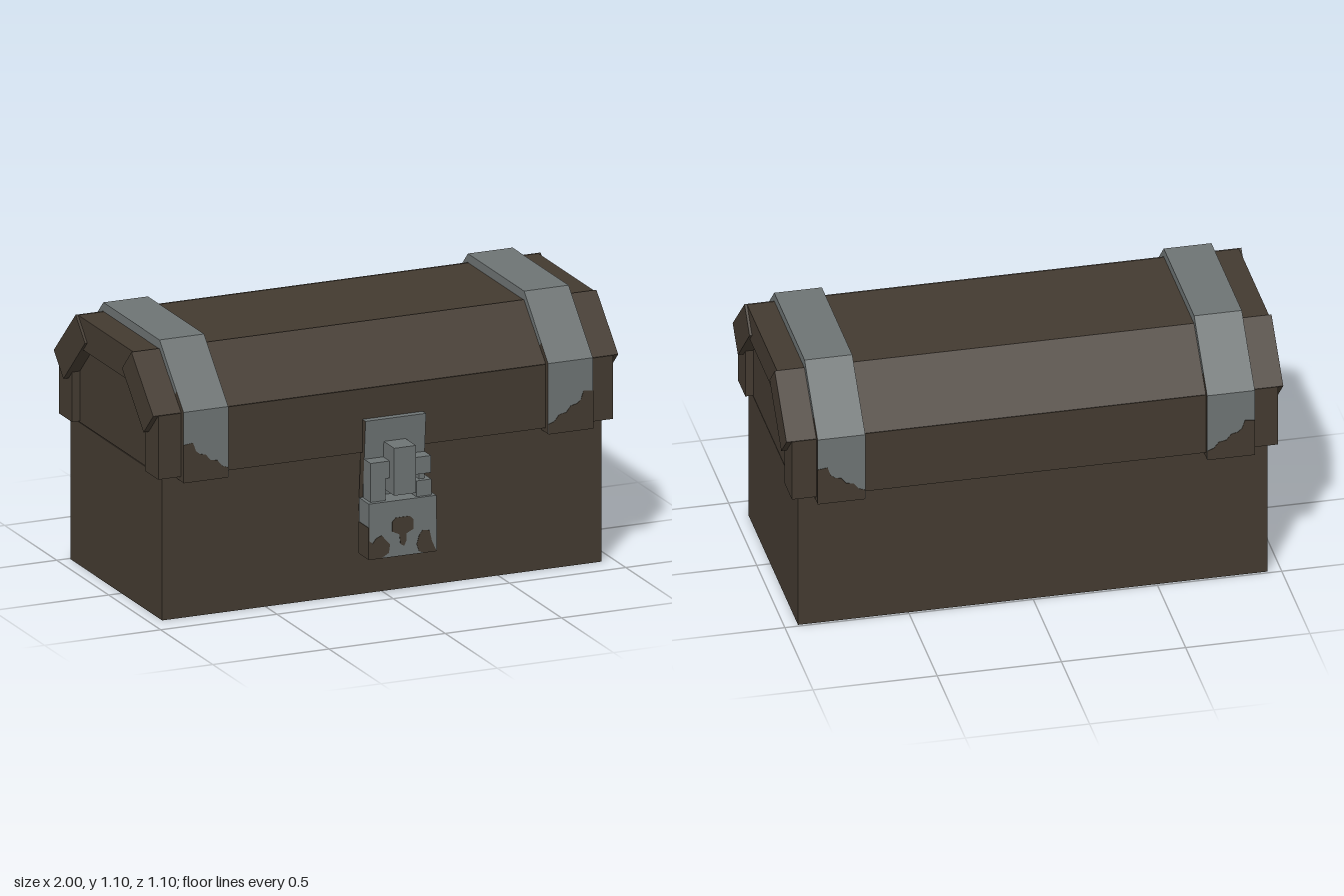
import * as THREE from 'three';

export function createModel() {
  const model = new THREE.Group();
  const wood = new THREE.MeshStandardMaterial({ color: 0x433a30 });
  wood.name = 'dark wood';
  const iron = new THREE.MeshStandardMaterial({ color: 0x6d7373 });
  iron.name = 'grey iron';

  const add = (name, geometry, material, parent = model) => {
    const mesh = new THREE.Mesh(geometry, material);
    mesh.name = name;
    parent.add(mesh);
    return mesh;
  };

  // Box given by its minimum and maximum on each axis
  const box = (name, x0, x1, y0, y1, z0, z1, material, parent) => {
    const g = new THREE.BoxGeometry(x1 - x0, y1 - y0, z1 - z0);
    g.translate((x0 + x1) / 2, (y0 + y1) / 2, (z0 + z1) / 2);
    return add(name, g, material, parent);
  };

  // Side profile of [z, y] points, run along x
  const prism = (name, points, x0, x1, material, parent) => {
    const shape = new THREE.Shape(points.map(([z, y]) => new THREE.Vector2(-z, y)));
    const g = new THREE.ExtrudeGeometry(shape, { depth: x1 - x0, bevelEnabled: false });
    g.rotateY(Math.PI / 2).translate(x0, 0, 0);
    return add(name, g, material, parent);
  };

  // Thin painted patch of [x, y] points, lying on a front or back face
  const patch = (name, points, z, material, parent) => {
    const shape = new THREE.Shape(points.map(([x, y]) => new THREE.Vector2(x, y)));
    const g = new THREE.ExtrudeGeometry(shape, { depth: 0.004, bevelEnabled: false });
    g.translate(0, 0, z - 0.002);
    return add(name, g, material, parent);
  };

  const MID = -0.05; // z of the chest's middle plane
  const at = (s, d) => MID + s * d;

  // Chest body
  box('body', -0.945, 0.945, 0, 0.587, -0.49, 0.39, wood);

  // Lid: recessed end panels, five overlapping planks
  const lid = new THREE.Group();
  lid.name = 'lid';
  model.add(lid);
  prism('lidCore', [[0.36, 0.59], [0.36, 0.83], [0.2, 0.99], [-0.3, 0.99], [-0.46, 0.83], [-0.46, 0.59]],
    -0.945, 0.945, wood, lid);
  box('topPlank', -0.99, 0.99, 0.93, 1.06, -0.315, 0.215, wood, lid);
  for (const [side, s] of [['front', 1], ['back', -1]]) {
    const z = [at(s, 0.35), at(s, 0.478)].sort((a, b) => a - b);
    box(side + 'Plank', -0.978, 0.978, 0.594, 0.855, z[0], z[1], wood, lid);
    prism(side + 'SlopedPlank',
      [[0.478, 0.857], [0.268, 1.062], [0.178, 0.97], [0.385, 0.765]].map(([d, y]) => [at(s, d), y]),
      -1, 1, wood, lid);
  }

  // Iron straps with worn lower ends
  const worn = [[0.881, 0.574], [0.881, 0.73], [0.84, 0.735], [0.828, 0.70], [0.81, 0.685], [0.785, 0.68],
    [0.765, 0.655], [0.735, 0.65], [0.715, 0.625], [0.689, 0.615], [0.689, 0.574]];
  for (const m of [1, -1]) {
    const strap = new THREE.Group();
    strap.name = m > 0 ? 'leftStrap' : 'rightStrap';
    model.add(strap);
    const [x0, x1] = m > 0 ? [0.688, 0.88] : [-0.88, -0.688];
    prism('strapTop', [[0.385, 0.932], [0.22, 1.097], [-0.32, 1.097], [-0.485, 0.932],
      [-0.44, 0.887], [-0.3, 1.03], [0.2, 1.03], [0.34, 0.887]], x0, x1, iron, strap);
    for (const s of [1, -1]) {
      const profile = [[0.502, 0.575], [0.502, 0.865], [0.435, 0.932], [0.39, 0.887], [0.43, 0.84], [0.43, 0.575]];
      prism('strapEnd', profile.map(([d, y]) => [at(s, d), y]), x0, x1, [wood, iron], strap);
      patch('wornPatch', worn.map(([x, y]) => [m * x, y]), at(s, 0.502), wood, strap);
    }
  }

  // Hasp: tilted plate and staple
  const lock = new THREE.Group();
  lock.name = 'lock';
  model.add(lock);
  prism('haspPlate', [[0.458, 0.73], [0.425, 0.345], [0.39, 0.345], [0.42, 0.73]], -0.1, 0.16, [wood, iron], lock);
  box('staple', -0.018, 0.075, 0.44, 0.635, 0.43, 0.55, iron, lock);

  // Padlock: shackle and body with worn patches and keyhole
  box('shackleLongLeg', -0.1, -0.035, 0.4, 0.57, 0.44, 0.505, iron, lock);
  box('shackleBar', -0.1, 0.16, 0.5, 0.57, 0.44, 0.505, iron, lock);
  box('shacklePost', 0.115, 0.14, 0.46, 0.52, 0.46, 0.49, iron, lock);
  box('shackleShortLeg', 0.095, 0.16, 0.4, 0.475, 0.445, 0.51, iron, lock);
  box('padlock', -0.115, 0.175, 0.182, 0.41, 0.428, 0.524, iron, lock);
  for (const x of [-0.115, 0.175]) {
    box('padlockWornSide', x - 0.002, x + 0.002, 0.182, 0.312, 0.428, 0.524, wood, lock);
  }
  box('padlockUnderside', -0.115, 0.175, 0.18, 0.184, 0.428, 0.524, wood, lock);
  patch('keyhole', [[-0.015, 0.285], [-0.015, 0.325], [0, 0.34], [0.06, 0.34], [0.075, 0.325], [0.075, 0.285],
    [0.045, 0.27], [0.045, 0.24], [0.035, 0.22], [0.02, 0.23], [0.015, 0.27]], 0.524, wood, lock);
  patch('wornCorner', [[-0.115, 0.182], [-0.115, 0.26], [-0.1, 0.245], [-0.085, 0.265], [-0.06, 0.275],
    [-0.045, 0.255], [-0.025, 0.235], [-0.03, 0.2], [-0.06, 0.182]], 0.524, wood, lock);
  patch('wornCorner', [[0.175, 0.182], [0.155, 0.225], [0.145, 0.27], [0.115, 0.275], [0.1, 0.255],
    [0.09, 0.22], [0.1, 0.19], [0.12, 0.182]], 0.524, wood, lock);

  return model;
}
